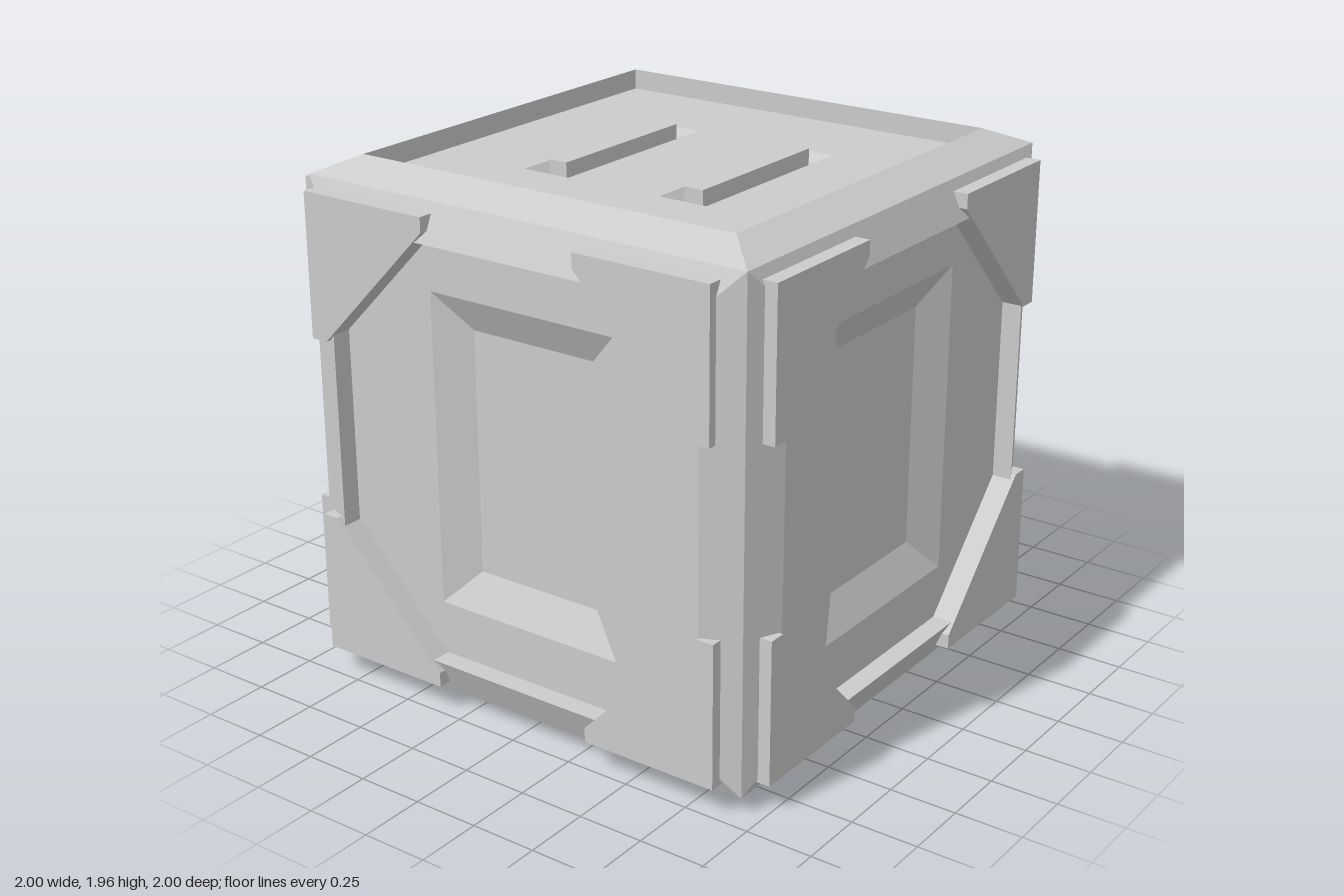
import * as THREE from 'three';

const material = new THREE.MeshStandardMaterial({ color: 0xcccccc, flatShading: true });
const PANEL = 0.905; // distance of the sunken panels from the centre

const part = (name, geometry) => {
  const mesh = new THREE.Mesh(geometry, material);
  mesh.name = name;
  return mesh;
};

// Rectangle corners, counter-clockwise
const rect = (hw, hh, cy = 0) =>
  [[-hw, cy - hh], [hw, cy - hh], [hw, cy + hh], [-hw, cy + hh]];

// Joins successive rectangular rings [halfWidth, halfHeight, z]; optionally caps the last
function ringLoft(rings, cy, cap) {
  const pos = [];
  const quad = (a, b, c, d) => pos.push(...a, ...b, ...c, ...a, ...c, ...d);
  const loops = rings.map(([hw, hh, z]) => rect(hw, hh, cy).map(([x, y]) => [x, y, z]));
  for (let k = 0; k < loops.length - 1; k++) {
    const a = loops[k], b = loops[k + 1];
    for (let i = 0; i < 4; i++) {
      const j = (i + 1) % 4;
      quad(a[i], a[j], b[j], b[i]);
    }
  }
  if (cap) quad(...loops[loops.length - 1]);
  const g = new THREE.BufferGeometry();
  g.setAttribute('position', new THREE.Float32BufferAttribute(pos, 3));
  g.computeVertexNormals();
  return g;
}

// One face of the crate: bevelled rim, sunken panel and its recesses
function cubeFace(name, recesses) {
  const face = new THREE.Group();
  face.name = name;
  face.add(part('rim', ringLoft(
    [[0.92, 0.92, 0.92], [0.785, 0.785, 0.982], [0.785, 0.785, PANEL]], 0, false)));

  const toVectors = (pts) => pts.map(([x, y]) => new THREE.Vector2(x, y));
  const shape = new THREE.Shape(toVectors(rect(0.785, 0.785)));
  for (const { name: label, cy, rings } of recesses) {
    shape.holes.push(new THREE.Path(toVectors(rect(rings[0][0], rings[0][1], cy))));
    face.add(part(label, ringLoft(rings, cy, true)));
  }
  const panel = part('panel', new THREE.ShapeGeometry(shape));
  panel.position.z = PANEL;
  face.add(panel);
  return face;
}

// Corner plate with its long inner edge cut diagonally
function cornerPlate(sx, sy, outer) {
  const pts = [[0, 0.88], [-0.535, 0.88], [-0.535, 0.825], [-0.065, 0.34], [0, 0.34]]
    .map(([x, y]) => new THREE.Vector2(sx * (outer + x), sy * y));
  const plate = part('cornerPlate', new THREE.ExtrudeGeometry(
    new THREE.Shape(pts), { depth: 0.1, bevelEnabled: false }));
  plate.position.z = 0.9;
  return plate;
}

export function createModel() {
  const model = new THREE.Group();
  model.name = 'crate';

  const body = new THREE.Group();
  body.name = 'body';
  body.position.set(-0.007, 0.982, 0.007);
  const plates = new THREE.Group();
  plates.name = 'cornerPlates';
  plates.position.y = 0.985;
  model.add(body, plates);

  // Four sides, each with a shallow tapered recess and four corner plates
  const sideRecess = {
    name: 'sideRecess', cy: 0.003,
    rings: [[0.39, 0.588, PANEL], [0.257, 0.456, PANEL - 0.067]],
  };
  ['front', 'right', 'back', 'left'].forEach((side, i) => {
    const turn = i * Math.PI / 2;
    const face = cubeFace(side + 'Face', [sideRecess]);
    face.rotation.y = turn;
    body.add(face);

    const set = new THREE.Group();
    set.name = side + 'Plates';
    set.rotation.y = turn;
    const shift = i === 1 || i === 2 ? 0.02 : 0;
    set.add(
      cornerPlate(-1, 1, 0.87 - shift),
      cornerPlate(1, 1, 0.84 + shift),
      cornerPlate(-1, -1, 0.87 - shift),
      cornerPlate(1, -1, 0.86 + shift));
    plates.add(set);
  });

  // Top with two slots, a bar standing in each
  const slots = [-0.297, 0.29].map((cy) => ({
    name: 'slotWithBar', cy,
    rings: [
      [0.392, 0.098, PANEL], [0.328, 0.038, PANEL - 0.07], [0.328, 0.038, PANEL + 0.03],
    ],
  }));
  const top = cubeFace('topFace', slots);
  top.rotation.x = -Math.PI / 2;
  body.add(top);

  // Plain underside
  const bottom = cubeFace('bottomFace', []);
  bottom.rotation.x = Math.PI / 2;
  body.add(bottom);

  return model;
}
